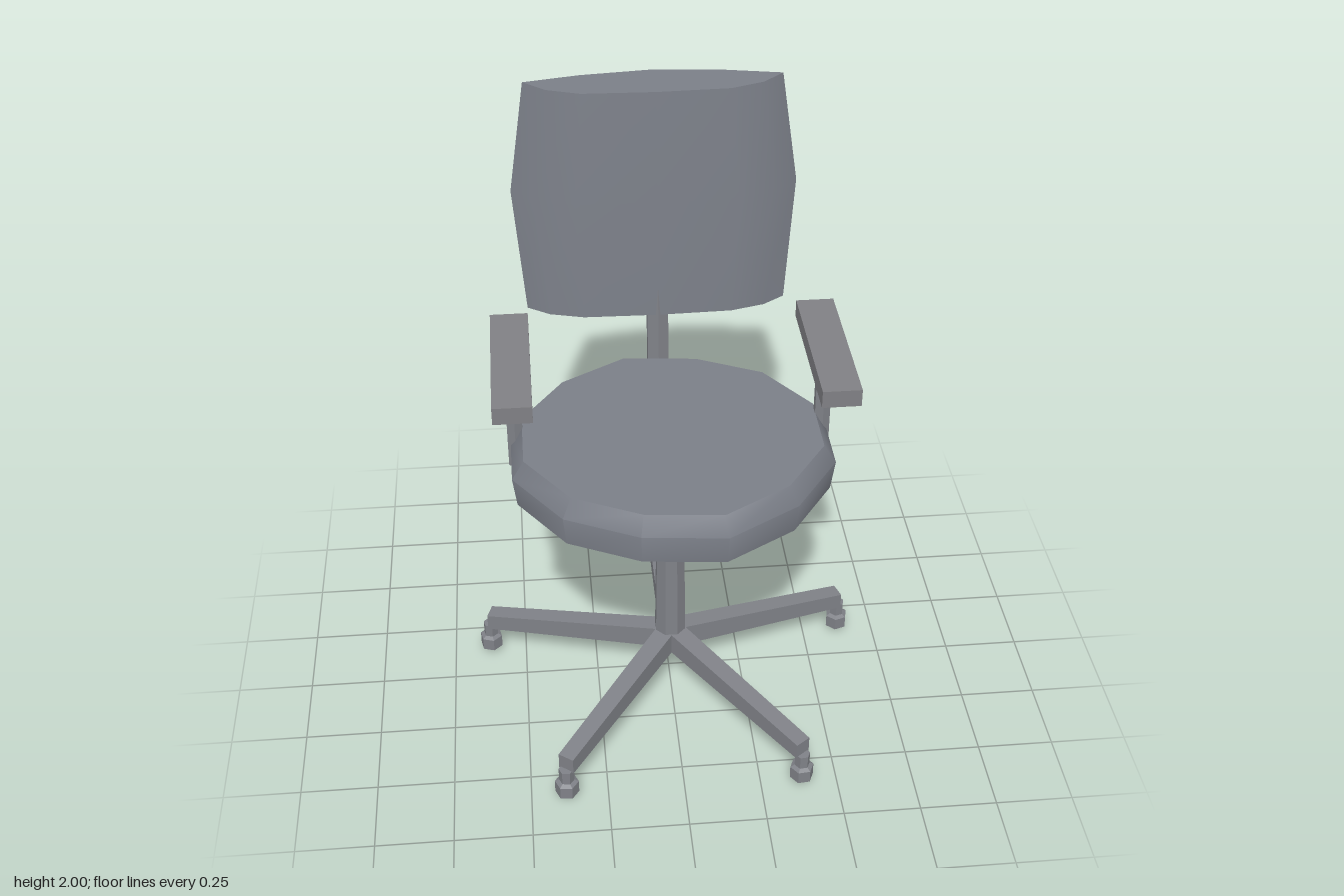
import * as THREE from 'three';
import { toCreasedNormals } from 'three/addons/utils/BufferGeometryUtils.js';

const fabric = new THREE.MeshStandardMaterial({ color: 0x7b7f88 });
const metal = new THREE.MeshStandardMaterial({ color: 0x7f8187, flatShading: true });
const plastic = new THREE.MeshStandardMaterial({ color: 0x808084, flatShading: true });

function add(parent, name, geometry, material, x = 0, y = 0, z = 0) {
  const mesh = new THREE.Mesh(geometry, material);
  mesh.name = name;
  mesh.position.set(x, y, z);
  parent.add(mesh);
  return mesh;
}

// Closed solid through equal-length rings of [x, y, z], bottom to top, counterclockwise from above
function loft(rings, crease) {
  const n = rings[0].length;
  const index = [];
  for (let r = 0; r < rings.length - 1; r++) {
    for (let i = 0; i < n; i++) {
      const a = r * n + i, b = r * n + (i + 1) % n;
      index.push(a, b, b + n, a, b + n, a + n);
    }
  }
  const top = (rings.length - 1) * n;
  for (let i = 1; i < n - 1; i++) {
    index.push(0, i + 1, i);
    index.push(top, top + i, top + i + 1);
  }
  const geo = new THREE.BufferGeometry();
  geo.setAttribute('position', new THREE.Float32BufferAttribute(rings.flat(2), 3));
  geo.setIndex(index);
  return toCreasedNormals(geo, crease);
}

// Twelve-sided cushion: half an outline, repeated by a half turn
function seatGeometry() {
  const half = [[0.13, 0.471], [0.357, 0.336], [0.505, 0.125], [0.505, -0.125], [0.357, -0.336], [0.13, -0.445]];
  const outline = [...half, ...half.map(([x, z]) => [-x, -z])];
  const levels = [[0.92, 0.975], [1.02, 1], [1.08, 0.925]];
  return loft(levels.map(([y, s]) => outline.map(([x, z]) => [x * s, y, 0.1 + z * s])), 0.7);
}

// Curved backrest: y, half width, and z of front, side ridge and rear
function backGeometry() {
  const levels = [
    [1.22, 0.43, -0.375, -0.46, -0.53],
    [1.63, 0.465, -0.387, -0.51, -0.58],
    [2.0, 0.41, -0.41, -0.52, -0.58],
  ];
  return loft(levels.map(([y, w, front, side, rear]) => {
    const f = t => front + (side - front) * t;
    const b = t => rear + (side - rear) * t;
    const half = [[0.57, f(0.07)], [0.83, f(0.42)], [1, side], [0.56, b(0.38)]];
    return [
      [0, y, front],
      ...half.map(([x, z]) => [x * w, y, z]),
      [0, y, rear],
      ...half.slice().reverse().map(([x, z]) => [-x * w, y, z]),
    ];
  }), 0.75);
}

// Tapered leg running out along +z and sloping down
function legGeometry() {
  const geo = new THREE.BoxGeometry(1, 1, 1);
  const p = geo.attributes.position;
  for (let i = 0; i < p.count; i++) {
    const outer = p.getZ(i) > 0, upper = p.getY(i) > 0;
    const y = outer ? (upper ? 0.175 : 0.117) : (upper ? 0.245 : 0.165);
    p.setXYZ(i, p.getX(i) * (outer ? 0.055 : 0.065), y, outer ? 0.653 : 0);
  }
  return geo;
}

export function createModel() {
  const chair = new THREE.Group();
  chair.name = 'officeChair';
  const hub = 0.064;

  // Five-legged base with casters
  const legGeo = legGeometry();
  const stemGeo = new THREE.CylinderGeometry(0.025, 0.025, 0.055, 6);
  const casterGeo = new THREE.SphereGeometry(0.045, 6, 3);
  casterGeo.rotateY(Math.PI / 6);
  for (let i = 0; i < 5; i++) {
    const arm = new THREE.Group();
    arm.name = 'baseLeg';
    arm.position.z = hub;
    arm.rotation.y = Math.PI + i * Math.PI * 2 / 5;
    add(arm, 'leg', legGeo, metal);
    add(arm, 'casterStem', stemGeo, metal, 0, 0.0955, 0.653);
    add(arm, 'caster', casterGeo, metal, 0, 0.045, 0.653);
    chair.add(arm);
  }

  // Column and mounting plate
  const column = add(chair, 'column', new THREE.CylinderGeometry(0.045, 0.055, 0.7, 8), metal, 0, 0.54, hub);
  column.rotation.y = Math.PI / 8;
  add(chair, 'seatPlate', new THREE.BoxGeometry(0.365, 0.055, 0.365), plastic, 0, 0.895, hub + 0.002);

  // Cushions
  add(chair, 'seat', seatGeometry(), fabric);
  add(chair, 'backrest', backGeometry(), fabric);

  // Tilted post carrying the backrest
  const post = add(chair, 'backPost', new THREE.CylinderGeometry(0.04, 0.04, 0.5, 6), metal, 0, 1.15, -0.406);
  post.rotation.x = -0.07;

  // Armrests
  for (const side of [-1, 1]) {
    add(chair, 'armPost', new THREE.CylinderGeometry(0.028, 0.028, 0.37, 6), metal, side * 0.49, 1.125, 0.025);
    add(chair, 'armPad', new THREE.BoxGeometry(0.12, 0.057, 0.527), plastic, side * 0.49, 1.328, hub - 0.002);
  }
  return chair;
}
